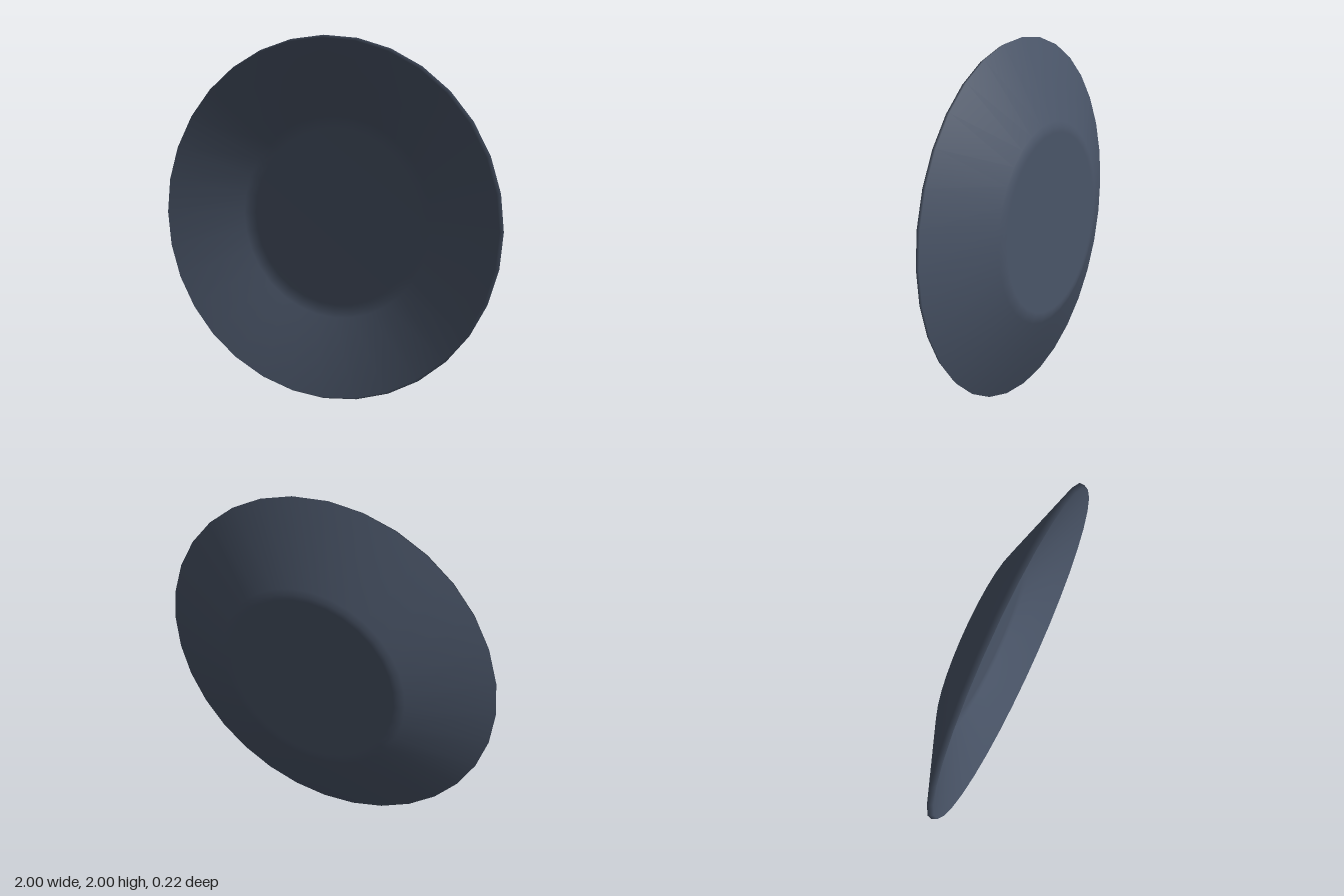
import * as THREE from 'three';

export function createModel() {
  const group = new THREE.Group();

  // Plate profile as (radius, depth): flat back, flared wall, thin lip, inner slope, floor
  const profile = [
    [0, 0.15], [0.5, 0.15], [0.53, 0.152], [0.56, 0.163],
    [1, 0.338], [0.985, 0.366],
    [0.57, 0.2], [0.54, 0.19], [0.5, 0.187], [0, 0.187],
  ].map(([r, d]) => new THREE.Vector2(r, d));

  const geometry = new THREE.LatheGeometry(profile, 32);
  geometry.rotateX(Math.PI / 2); // lathe axis to +z, hollow side facing the front

  const plate = new THREE.Mesh(
    geometry,
    new THREE.MeshStandardMaterial({ color: 0x4a5568 })
  );
  plate.name = 'plate';
  plate.position.y = 1;
  group.add(plate);

  return group;
}
